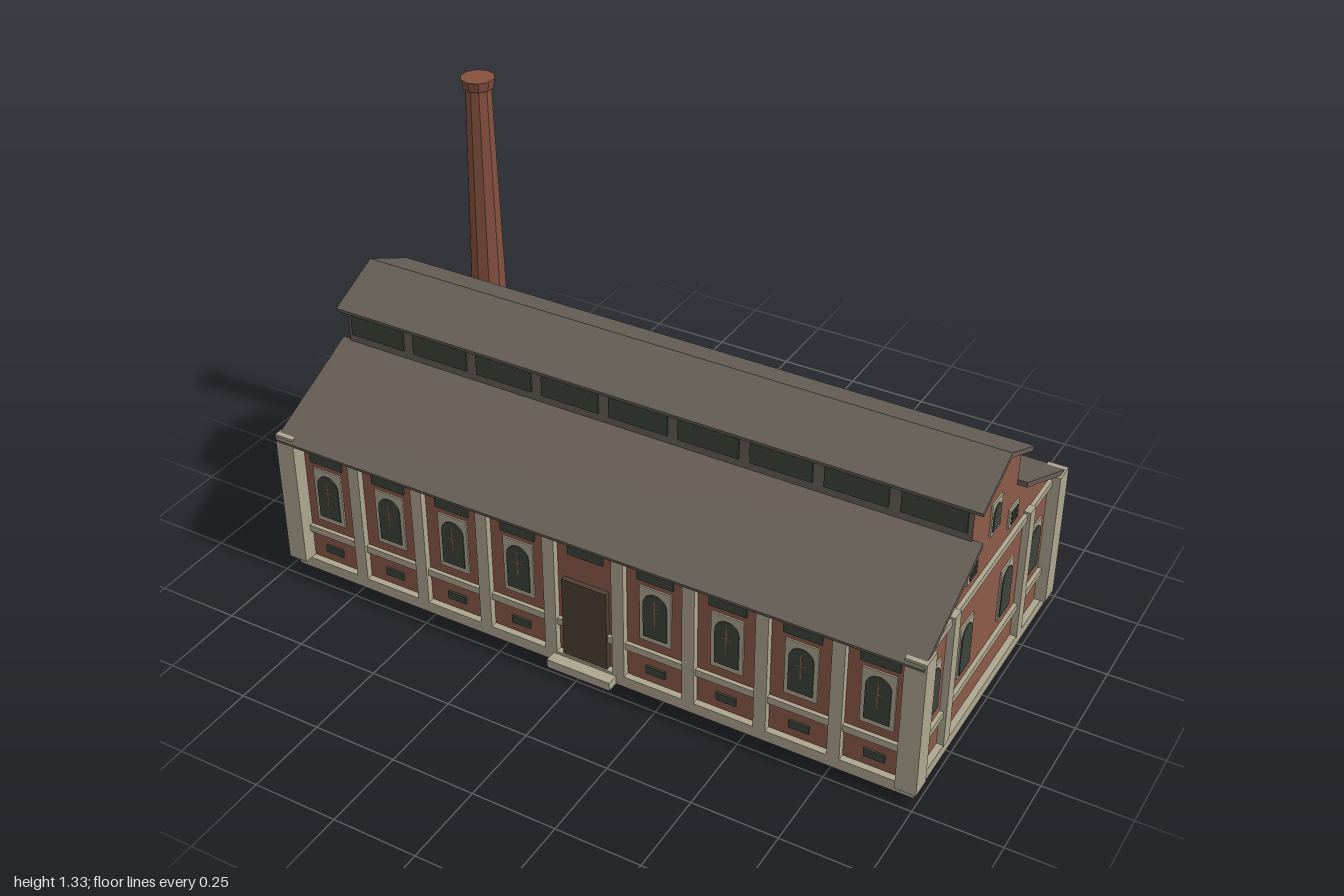
import * as THREE from 'three';

const mat = (name, color, side = THREE.FrontSide) => {
  const m = new THREE.MeshStandardMaterial({ color, side });
  m.name = name;
  return m;
};
const brick = mat('brick', 0x8c5a49);
const chimneyBrick = mat('chimney brick', 0x85513f);
const stone = mat('stone', 0xada58f);
const roofing = mat('roofing', 0x665e56);
const glass = mat('glass', 0x3b443c);
const timber = mat('door timber', 0x4e4033);

const BAY = 0.2155, WALL_X = 0.966, WALL_Z = 0.435;

function add(parent, name, geometry, material) {
  const mesh = new THREE.Mesh(geometry, material);
  mesh.name = name;
  parent.add(mesh);
  return mesh;
}

// Box given by its limits
function box(parent, name, material, x0, x1, y0, y1, z0, z1) {
  const g = new THREE.BoxGeometry(x1 - x0, y1 - y0, z1 - z0);
  g.translate((x0 + x1) / 2, (y0 + y1) / 2, (z0 + z1) / 2);
  return add(parent, name, g, material);
}

// Box standing out from a facade, centred on x
const plate = (parent, name, material, x, w, y0, y1, depth) =>
  box(parent, name, material, x - w / 2, x + w / 2, y0, y1, 0, depth);

// Cross-section of [z, y] points run along the length of the building
function prism(parent, name, points, length, material) {
  const shape = new THREE.Shape(points.map(([z, y]) => new THREE.Vector2(-z, y)));
  const g = new THREE.ExtrudeGeometry(shape, { depth: length, bevelEnabled: false });
  g.translate(0, 0, -length / 2).rotateY(Math.PI / 2);
  return add(parent, name, g, material);
}

// Stone surround with an arched pane and optional glazing bars
function archedWindow(parent, x, y0, y1, w, border, bars) {
  const win = new THREE.Group();
  win.name = 'archedWindow';
  win.position.x = x;
  parent.add(win);
  plate(win, 'windowSurround', stone, 0, w, y0, y1, 0.005);
  const r = w / 2 - border, bottom = y0 + border * 1.4, top = y1 - border * 1.4;
  const s = new THREE.Shape();
  s.moveTo(-r, bottom).lineTo(r, bottom).lineTo(r, top - r);
  s.absarc(0, top - r, r, 0, Math.PI, false);
  s.closePath();
  add(win, 'windowPane', new THREE.ExtrudeGeometry(s, { depth: 0.008, bevelEnabled: false, curveSegments: 8 }), glass);
  for (let i = 1; i <= bars; i++) {
    const y = bottom + (top - bottom) * i / (bars + 1);
    plate(win, 'glazingBar', stone, 0, r * 1.8, y - 0.002, y + 0.002, 0.0095);
  }
}

function facade(parent, name, x, z, angle) {
  const g = new THREE.Group();
  g.name = name;
  g.position.set(x, 0, z);
  g.rotation.y = angle;
  parent.add(g);
  return g;
}

// Long side: nine bays between pilasters
function longSide(parent, name, z, angle, hasDoor) {
  const g = facade(parent, name, 0, z, angle);
  plate(g, 'sillBand', stone, 0, 1.9, 0.126, 0.148, 0.012);
  plate(g, 'eaveBand', stone, 0, 1.9, 0.432, 0.452, 0.012);
  for (let i = -4; i <= 4; i++) {
    const x = i * BAY;
    plate(g, 'transomLight', glass, x, 0.11, 0.376, 0.42, 0.006);
    if (i < 4) plate(g, 'pilaster', stone, x + BAY / 2, 0.037, 0.03, 0.45, 0.02);
    if (hasDoor && i === 0) continue;
    plate(g, 'lowVent', glass, x, 0.06, 0.065, 0.09, 0.006);
    archedWindow(g, x, 0.178, 0.358, 0.096, 0.012, 0);
    // Small cross in the pane
    plate(g, 'paneBar', brick, x, 0.004, 0.24, 0.325, 0.009);
    plate(g, 'paneBar', brick, x, 0.03, 0.285, 0.289, 0.009);
  }
  if (hasDoor) plate(g, 'door', timber, 0, 0.14, 0.03, 0.293, 0.016);
}

// Gable end: four tall windows, louvres and a window in the monitor
function gableEnd(parent, name, x, angle) {
  const g = facade(parent, name, x, 0, angle);
  plate(g, 'sillBand', stone, 0, 0.85, 0.128, 0.148, 0.012);
  plate(g, 'eaveBand', stone, 0, 0.85, 0.433, 0.453, 0.012);
  for (const s of [-1, 1]) {
    plate(g, 'pilaster', stone, s * 0.254, 0.038, 0.03, 0.46, 0.02);
    archedWindow(g, s * 0.345, 0.182, 0.35, 0.084, 0.0075, 2);
    archedWindow(g, s * 0.138, 0.182, 0.35, 0.084, 0.0075, 2);
    plate(g, 'louvreSurround', stone, s * 0.138, 0.066, 0.484, 0.546, 0.005);
    for (let i = 0; i < 3; i++) {
      const y = 0.495 + i * 0.015;
      plate(g, 'louvre', glass, s * 0.138, 0.044, y, y + 0.009, 0.008);
    }
  }
  archedWindow(g, 0, 0.548, 0.65, 0.066, 0.009, 2);
}

export function createModel() {
  const model = new THREE.Group();
  model.name = 'factoryHall';

  // Plinth and door step
  box(model, 'plinth', stone, -0.985, 0.985, 0, 0.035, -0.455, 0.455);
  box(model, 'doorStep', stone, -0.1, 0.1, 0, 0.027, 0.44, 0.49);

  // Brick hall and raised monitor
  prism(model, 'hall', [
    [-WALL_Z, 0.03], [WALL_Z, 0.03], [WALL_Z, 0.464], [0.15, 0.601], [-0.15, 0.601], [-WALL_Z, 0.464],
  ], WALL_X * 2, brick);
  prism(model, 'monitor', [
    [-0.155, 0.595], [0.155, 0.595], [0.155, 0.714], [0, 0.787], [-0.155, 0.714],
  ], WALL_X * 2, [brick, roofing]);

  // Roof slabs and monitor glazing on both slopes
  for (const s of [-1, 1]) {
    prism(model, 'mainRoof', [
      [s * 0.488, 0.455], [s * 0.15, 0.617], [s * 0.15, 0.601], [s * 0.482, 0.442],
    ], 1.988, roofing);
    prism(model, 'monitorRoof', [
      [s * 0.171, 0.721], [0, 0.801], [0, 0.785], [s * 0.166, 0.708],
    ], 1.988, roofing);
    const g = facade(model, 'monitorGlazing', 0, s * 0.155, s > 0 ? 0 : Math.PI);
    for (let i = -4; i <= 4; i++) plate(g, 'monitorLight', glass, i * BAY, 0.182, 0.64, 0.704, 0.006);
  }

  // Corner piers
  for (const sx of [-1, 1]) for (const sz of [-1, 1]) {
    const pier = new THREE.BoxGeometry(0.06, 0.431, 0.062);
    pier.translate(sx * 0.97, 0.2505, sz * 0.449);
    add(model, 'cornerPier', pier, stone);
  }

  longSide(model, 'frontSide', WALL_Z, 0, true);
  longSide(model, 'backSide', -WALL_Z, Math.PI, false);
  gableEnd(model, 'leftGable', WALL_X, Math.PI / 2);
  gableEnd(model, 'rightGable', -WALL_X, -Math.PI / 2);

  // Tapered chimney with a flared cap
  const profile = [[0, 0.45], [0.058, 0.45], [0.039, 1.292], [0.044, 1.295], [0.05, 1.325], [0, 1.325]];
  const stack = new THREE.LatheGeometry(profile.map(([r, y]) => new THREE.Vector2(r, y)), 10).toNonIndexed();
  stack.computeVertexNormals();
  add(model, 'chimney', stack, chimneyBrick).position.set(-0.76, 0, -0.256);

  return model;
}
